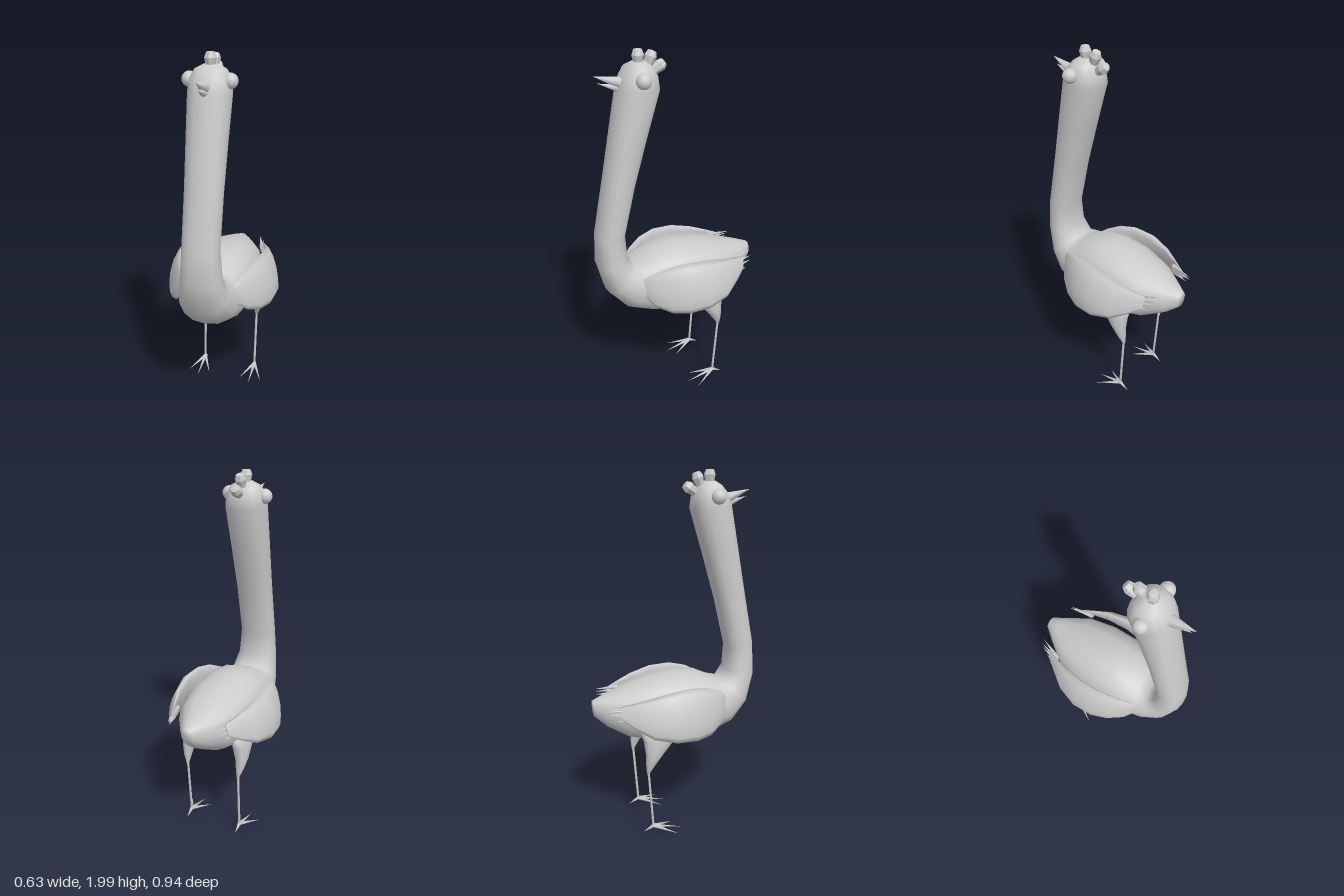
import * as THREE from 'three';

const grey = new THREE.MeshStandardMaterial({ color: 0xcccccc, side: THREE.DoubleSide });
const greyFlat = new THREE.MeshStandardMaterial({ color: 0xcccccc, flatShading: true });
const V = (x, y, z) => new THREE.Vector3(x, y, z);

function part(name, geometry, material = grey) {
  const mesh = new THREE.Mesh(geometry, material);
  mesh.name = name;
  return mesh;
}

// Skin closed rings of points into one smooth capped surface; flip reverses the faces.
function loft(rings, flip = false) {
  const n = rings[0].length, pos = [], idx = [];
  const tri = (a, b, c) => (flip ? idx.push(a, c, b) : idx.push(a, b, c));
  rings.forEach((r) => r.forEach((p) => pos.push(p.x, p.y, p.z)));
  for (let i = 0; i < rings.length - 1; i++) {
    for (let j = 0; j < n; j++) {
      const a = i * n + j, b = i * n + (j + 1) % n;
      tri(a, a + n, b);
      tri(b, a + n, b + n);
    }
  }
  [0, rings.length - 1].forEach((i) => {
    const mid = rings[i].reduce((s, p) => s.add(p), V(0, 0, 0)).divideScalar(n);
    const m = pos.push(mid.x, mid.y, mid.z) / 3 - 1;
    for (let j = 0; j < n; j++) {
      const a = i * n + j, b = i * n + (j + 1) % n;
      if (i === 0) tri(m, a, b); else tri(m, b, a);
    }
  });
  const g = new THREE.BufferGeometry();
  g.setAttribute('position', new THREE.Float32BufferAttribute(pos, 3));
  g.setIndex(idx);
  g.computeVertexNormals();
  return g;
}

// Ring around a centre, spanned by two half axes; power below 1 makes it squarer.
function ring(center, cosAxis, sinAxis, n, power = 1) {
  const bend = (v) => Math.sign(v) * Math.abs(v) ** power;
  return Array.from({ length: n }, (_, j) => {
    const t = (j / n) * Math.PI * 2;
    return center.clone().addScaledVector(cosAxis, bend(Math.cos(t))).addScaledVector(sinAxis, bend(Math.sin(t)));
  });
}

// Round rod or spike between two points.
function spike(from, to, r0, r1 = 0, sides = 6) {
  const dir = to.clone().sub(from);
  const g = new THREE.CylinderGeometry(r1, r0, dir.length(), sides);
  g.applyQuaternion(new THREE.Quaternion().setFromUnitVectors(V(0, 1, 0), dir.clone().normalize()));
  const m = from.clone().add(to).multiplyScalar(0.5);
  return g.translate(m.x, m.y, m.z);
}

// Body, neck and head: upper z, y, lower z, y, half width, from tail to crown
function bodyGeometry() {
  const sections = [
    [-0.47, 0.79, -0.465, 0.70, 0.035],
    [-0.40, 0.815, -0.40, 0.64, 0.085],
    [-0.27, 0.855, -0.29, 0.575, 0.165],
    [-0.12, 0.90, -0.13, 0.525, 0.198],
    [0.02, 0.915, 0.02, 0.505, 0.203],
    [0.13, 0.90, 0.18, 0.53, 0.19],
    [0.21, 0.86, 0.32, 0.585, 0.165],
    [0.265, 0.845, 0.42, 0.70, 0.135],
    [0.298, 0.90, 0.465, 0.87, 0.112],
    [0.305, 1.03, 0.457, 1.05, 0.1],
    [0.24, 1.30, 0.395, 1.37, 0.1],
    [0.165, 1.56, 0.35, 1.61, 0.105],
    [0.092, 1.80, 0.31, 1.82, 0.11],
    [0.102, 1.87, 0.288, 1.88, 0.104],
    [0.125, 1.915, 0.255, 1.92, 0.08],
    [0.16, 1.94, 0.225, 1.94, 0.035],
  ];
  return loft(sections.map(([tz, ty, bz, by, w]) => {
    const top = V(0, ty, tz), mid = V(0, (ty + by) / 2, (tz + bz) / 2);
    return ring(mid, top.sub(mid), V(w, 0, 0), 16, 0.88);
  }));
}

// Wing blade: z, upper x, y, lower x, y, half thickness, from back to front
function wingGeometry(s) {
  const sections = [
    [-0.35, 0.155, 0.80, 0.18, 0.735, 0.005],
    [-0.29, 0.175, 0.82, 0.215, 0.69, 0.012],
    [-0.20, 0.20, 0.848, 0.265, 0.64, 0.024],
    [-0.08, 0.212, 0.876, 0.29, 0.615, 0.034],
    [0.04, 0.205, 0.883, 0.28, 0.607, 0.034],
    [0.13, 0.185, 0.865, 0.245, 0.612, 0.03],
    [0.21, 0.155, 0.825, 0.195, 0.645, 0.022],
    [0.255, 0.135, 0.79, 0.15, 0.70, 0.008],
  ];
  return loft(sections.map(([z, tx, ty, bx, by, th]) => {
    const mid = V(s * ((tx + bx) / 2 + th * 0.4), (ty + by) / 2, z);
    const up = V(s * (tx - bx) / 2, (ty - by) / 2, 0);
    return ring(mid, up, V(s * th, th * 0.35, 0), 10);
  }), s < 0);
}

function wing(s) {
  const g = new THREE.Group();
  g.name = s > 0 ? 'leftWing' : 'rightWing';
  g.add(part('wingBlade', wingGeometry(s)));
  // Feather tips: root x, y, tip x, y, z
  [
    [0.165, 0.79, 0.125, 0.808, -0.42],
    [0.17, 0.77, 0.145, 0.785, -0.42],
    [0.178, 0.75, 0.155, 0.762, -0.415],
    [0.19, 0.73, 0.17, 0.725, -0.375],
  ].forEach(([x, y, tx, ty, z]) => {
    g.add(part('featherTip', spike(V(s * x, y, -0.29), V(s * tx, ty, z), 0.014)));
  });
  return g;
}

function leg(s) {
  const g = new THREE.Group();
  g.name = s > 0 ? 'leftLeg' : 'rightLeg';
  // Thigh: x, y, z, half width, half depth, from hip down to the knee
  const thigh = [
    [0.14, 0.66, -0.11, 0.055, 0.13],
    [0.158, 0.58, -0.135, 0.048, 0.092],
    [0.168, 0.50, -0.168, 0.036, 0.05],
    [0.167, 0.44, -0.19, 0.023, 0.028],
    [0.162, 0.385, -0.205, 0.008, 0.008],
  ];
  g.add(part('thigh', loft(thigh.map(([x, y, z, w, d]) =>
    ring(V(s * x, y, z), V(0, 0, d), V(s * w, 0, 0), 10)), s < 0)));
  const ankle = V(s * 0.16, 0.045, -0.178);
  g.add(part('shank', spike(V(s * 0.162, 0.4, -0.204), ankle, 0.007, 0.007)));
  // Three front toes and a back toe: tip x, y, z
  [[0.16, 0.005, -0.015], [0.095, 0.008, -0.05], [0.228, 0.008, -0.05], [0.16, 0.015, -0.235]]
    .forEach(([x, y, z]) => g.add(part('toe', spike(ankle, V(s * x, y, z), 0.011))));
  return g;
}

export function createModel() {
  const model = new THREE.Group();
  model.name = 'bird';
  model.add(part('body', bodyGeometry()));

  // Open beak
  model.add(part('upperBeak', spike(V(0, 1.842, 0.275), V(0, 1.892, 0.425), 0.034, 0, 8)));
  model.add(part('lowerBeak', spike(V(0, 1.815, 0.28), V(0, 1.855, 0.405), 0.024, 0, 8)));

  // Comb of three faceted lumps: z, y, tilt backwards
  const lump = [[0, -0.045], [0.02, -0.045], [0.032, 0.012], [0.022, 0.037], [0, 0.04]]
    .map(([r, y]) => new THREE.Vector2(r, y));
  [[0.195, 1.96, 0.03], [0.132, 1.948, -0.35], [0.088, 1.902, -0.95]].forEach(([z, y, tilt]) => {
    const m = part('combLump', new THREE.LatheGeometry(lump, 7), greyFlat);
    m.position.set(0, y, z);
    m.rotation.x = tilt;
    model.add(m);
  });

  [1, -1].forEach((s) => {
    const eye = part(s > 0 ? 'leftEye' : 'rightEye', new THREE.SphereGeometry(0.039, 16, 12));
    eye.position.set(s * 0.103, 1.867, 0.207);
    model.add(eye, wing(s), leg(s));
  });
  return model;
}
